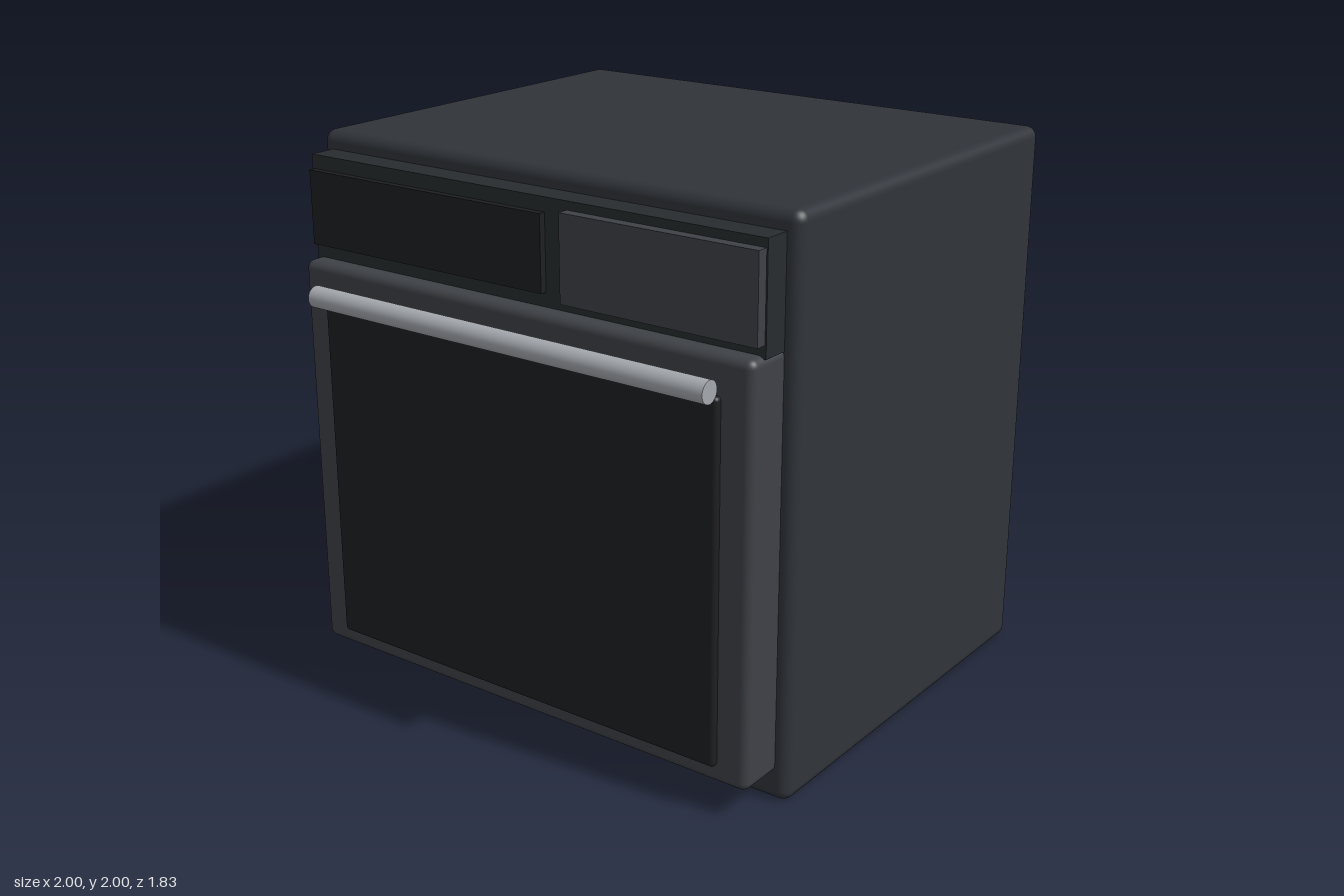
import * as THREE from 'three';
import { RoundedBoxGeometry } from 'three/addons/geometries/RoundedBoxGeometry.js';

const paint = (color) => new THREE.MeshStandardMaterial({ color });

// Box given by its [min, max] extents; a radius above zero rounds its edges.
function block(name, [x0, x1], [y0, y1], [z0, z1], radius, material) {
  const size = [x1 - x0, y1 - y0, z1 - z0];
  const geometry = radius > 0
    ? new RoundedBoxGeometry(...size, 4, radius)
    : new THREE.BoxGeometry(...size);
  const mesh = new THREE.Mesh(geometry, material);
  mesh.name = name;
  mesh.position.set((x0 + x1) / 2, (y0 + y1) / 2, (z0 + z1) / 2);
  return mesh;
}

export function createModel() {
  const oven = new THREE.Group();
  oven.name = 'oven';

  const casing = paint(0x30343a);
  const doorPaint = paint(0x3e4146);
  const panelPaint = paint(0x282c2e);
  const glass = paint(0x1e1f21);
  const steel = paint(0xa4a8ae);

  // Main casing
  oven.add(block('body', [-1, 1], [0, 2], [-0.915, 0.65], 0.04, casing));

  // Control strip with a dark display and a raised button plate
  oven.add(block('controlPanel', [-0.95, 0.95], [1.56, 1.935], [0.6, 0.75], 0, panelPaint));
  oven.add(block('display', [-0.94, 0.1], [1.62, 1.885], [0.72, 0.775], 0, glass));
  oven.add(block('buttonPlate', [0.19, 0.945], [1.605, 1.905], [0.72, 0.79], 0, doorPaint));

  // Door and its window
  oven.add(block('door', [-0.95, 0.95], [0.105, 1.57], [0.58, 0.817], 0.03, doorPaint));
  oven.add(block('doorWindow', [-0.835, 0.835], [0.17, 1.44], [0.77, 0.84], 0.015, glass));

  // Handle bar across the top of the door
  const handle = new THREE.Mesh(new THREE.CylinderGeometry(0.039, 0.039, 1.67, 32), steel);
  handle.name = 'handle';
  handle.rotation.z = Math.PI / 2;
  handle.position.set(0, 1.47, 0.877);
  oven.add(handle);

  return oven;
}
